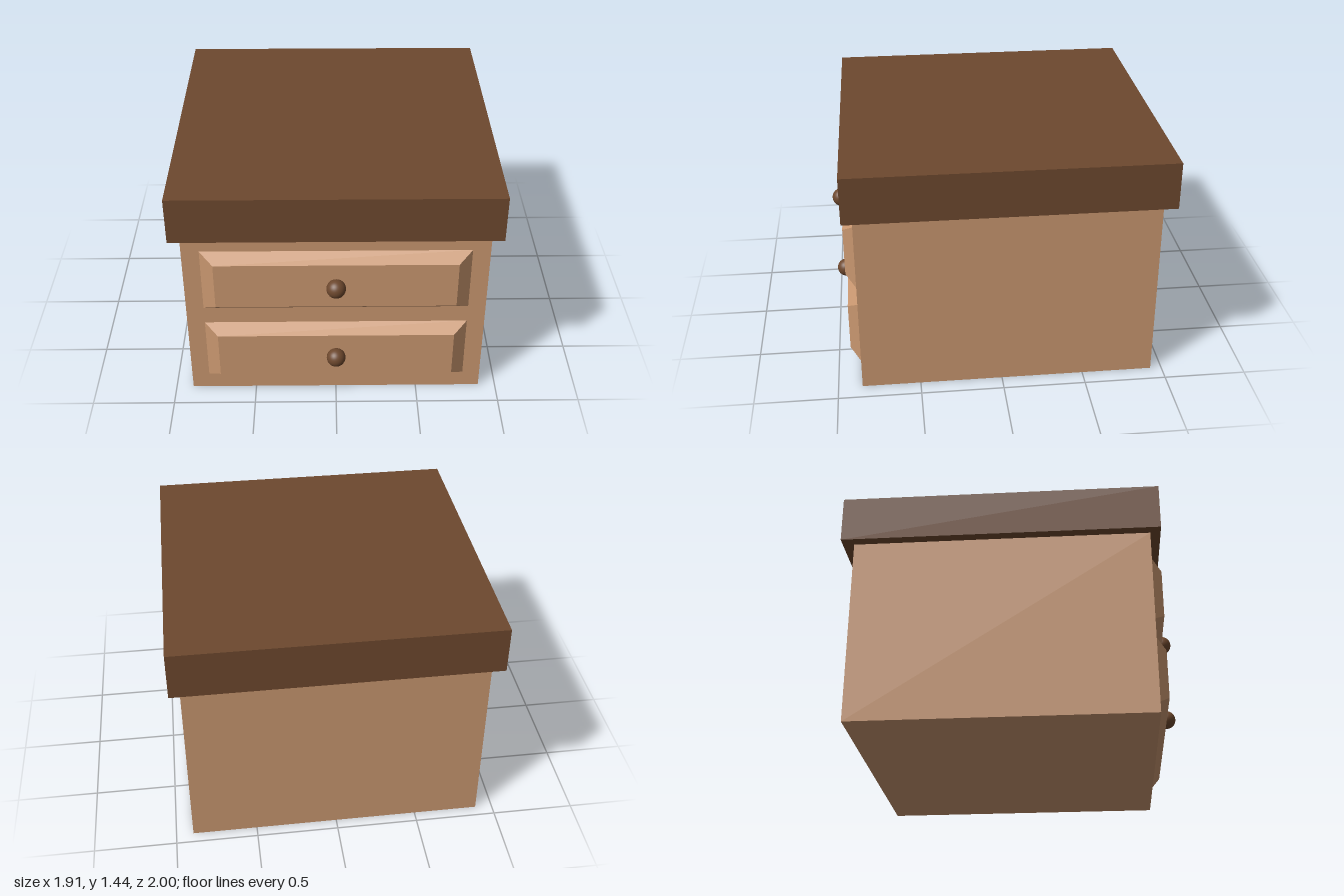
import * as THREE from 'three';

export function createModel() {
  const model = new THREE.Group();
  model.name = 'nightstand';

  const lightWood = new THREE.MeshStandardMaterial({ color: 0xc8966f });
  lightWood.name = 'light wood';
  const darkWood = new THREE.MeshStandardMaterial({ color: 0x6d482e });
  darkWood.name = 'dark wood';

  function add(parent, name, geometry, material, x, y, z) {
    const mesh = new THREE.Mesh(geometry, material);
    mesh.name = name;
    mesh.position.set(x, y, z);
    parent.add(mesh);
    return mesh;
  }

  // Box whose front face is inset to form a bevelled panel
  function bevelledPanel(width, height, depth, insetX, insetY) {
    const geometry = new THREE.BoxGeometry(width, height, depth);
    const p = geometry.attributes.position;
    for (let i = 0; i < p.count; i++) {
      if (p.getZ(i) > 0) {
        p.setX(i, p.getX(i) - Math.sign(p.getX(i)) * insetX);
        p.setY(i, p.getY(i) - Math.sign(p.getY(i)) * insetY);
      }
    }
    geometry.computeVertexNormals();
    return geometry;
  }

  // Cabinet and overhanging top
  add(model, 'cabinet', new THREE.BoxGeometry(1.79, 1.155, 1.785), lightWood, 0, 0.5775, -0.0385);
  add(model, 'tableTop', new THREE.BoxGeometry(1.914, 0.286, 1.915), darkWood, 0, 1.298, -0.0425);

  // Two drawers, each with a round knob
  const panel = bevelledPanel(1.58, 0.415, 0.065, 0.08, 0.057);
  const knob = new THREE.SphereGeometry(0.057, 32, 20);
  [['lowerDrawer', 0.314], ['upperDrawer', 0.841]].forEach(([name, y]) => {
    const drawer = new THREE.Group();
    drawer.name = name;
    drawer.position.y = y;
    add(drawer, 'drawerFront', panel, lightWood, 0, 0, 0.8865);
    add(drawer, 'knob', knob, darkWood, 0, 0, 0.943);
    model.add(drawer);
  });

  return model;
}
